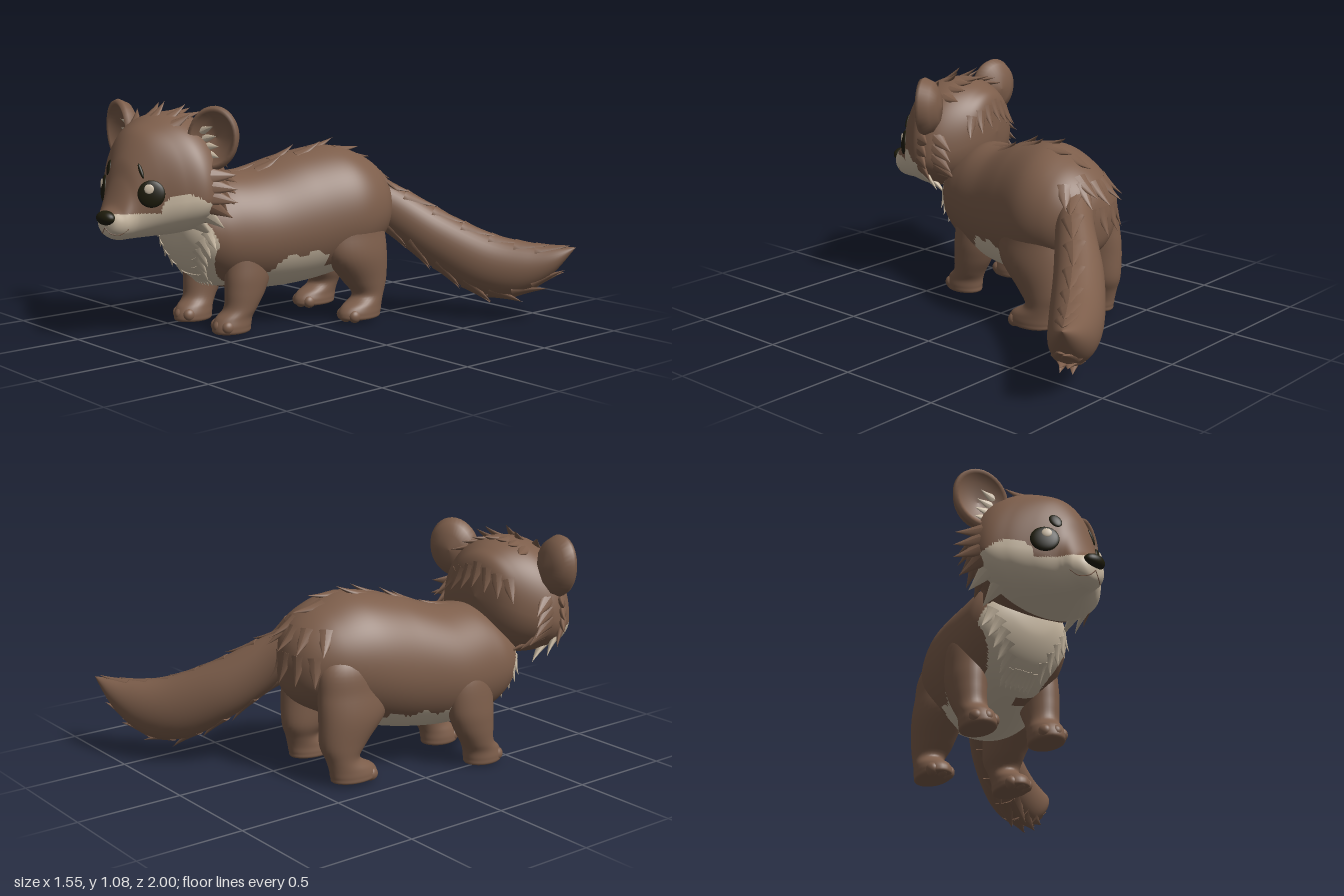
import * as THREE from 'three';

const mat = (name, color) => Object.assign(new THREE.MeshStandardMaterial({ color }), { name });
const V = (x, y, z) => new THREE.Vector3(x, y, z);

// Smooth skin through a few cross-section rows; ring(row, angle) gives a point.
function loft(rows, ring, sides = 96, sub = 10) {
  const cr = (a, b, c, d, t) => 0.5 * (2 * b + (c - a) * t + (2 * a - 5 * b + 4 * c - d) * t * t + (3 * b - a - 3 * c + d) * t * t * t);
  const last = rows.length - 1, pos = [], idx = [], n = last * sub;
  for (let i = 0; i <= n; i++) {
    const k = Math.min(Math.floor(i / sub), last - 1), t = i / sub - k;
    const r = (o) => rows[Math.max(0, Math.min(last, k + o))];
    const row = rows[0].map((_, c) => cr(r(-1)[c], r(0)[c], r(1)[c], r(2)[c], t));
    for (let j = 0; j < sides; j++) pos.push(...ring(row, (j / sides) * Math.PI * 2));
  }
  for (let i = 0; i < n; i++) for (let j = 0; j < sides; j++) {
    const a = i * sides + j, b = i * sides + (j + 1) % sides;
    idx.push(a, a + sides, b, b, a + sides, b + sides);
  }
  const g = new THREE.BufferGeometry();
  g.setAttribute('position', new THREE.Float32BufferAttribute(pos, 3));
  g.setIndex(idx);
  g.computeVertexNormals();
  return g;
}

// Sort faces into two material groups by a rule on their centres.
function paint(g, rule) {
  const p = g.attributes.position, ix = g.index.array, sets = [[], []];
  for (let i = 0; i < ix.length; i += 3) {
    const f = [ix[i], ix[i + 1], ix[i + 2]];
    const m = (fn) => f.reduce((s, v) => s + p[fn](v) / 3, 0);
    sets[rule(m('getX'), m('getY'), m('getZ')) ? 1 : 0].push(...f);
  }
  g.setIndex([...sets[0], ...sets[1]]);
  g.addGroup(0, sets[0].length, 0);
  g.addGroup(sets[0].length, sets[1].length, 1);
  return g;
}

// First surface point and normal met by a ray.
function cast(mesh, from, dir) {
  const hit = new THREE.Raycaster(from, dir.clone().normalize()).intersectObject(mesh)[0];
  return hit && { p: hit.point, n: hit.face.normal.clone() };
}

// Flat, curved lock of fur lying on a surface.
const lock = new THREE.ConeGeometry(1, 1, 10, 5);
lock.translate(0, 0.35, 0);
for (let i = 0, p = lock.attributes.position; i < p.count; i++) {
  const y = p.getY(i);
  p.setZ(i, p.getZ(i) * 0.45 + y * y * 0.3);
}
lock.computeVertexNormals();

function fur(parent, mesh, name, material, from, dir, flow, len, width, lift) {
  const h = cast(mesh, from, dir);
  if (!h) return;
  const y = flow.clone().addScaledVector(h.n, -flow.dot(h.n)).normalize().addScaledVector(h.n, lift).normalize();
  const x = y.clone().cross(h.n).normalize(), z = x.clone().cross(y);
  const m = new THREE.Mesh(lock, material);
  m.name = name;
  m.quaternion.setFromRotationMatrix(new THREE.Matrix4().makeBasis(x, y, z));
  m.position.copy(h.p).addScaledVector(h.n, -width * 0.3);
  m.scale.set(width, len, width);
  parent.add(m);
}

export function createModel() {
  const brown = mat('brown fur', 0x7d5e4b), cream = mat('cream fur', 0xcdbda6), dark = mat('dark eyes and nose', 0x1d1b0b);
  const model = new THREE.Group();
  const add = (parent, name, geo, material) => {
    const m = new THREE.Mesh(geo, material);
    m.name = name;
    parent.add(m);
    return m;
  };
  const ball = new THREE.SphereGeometry(1, 28, 18);
  // rows: z, centre x, centre y, half width, height above, depth below
  const bodyRing = ([z, cx, cy, w, up, dn], a) =>
    [cx + Math.max(w, 0) * Math.cos(a), cy + Math.max(Math.sin(a) > 0 ? up : dn, 0) * Math.sin(a), z];

  // Body with cream bib and belly
  const body = add(model, 'body', paint(loft([
    [0.585, -0.34, 0.51, 0, 0, 0], [0.57, -0.34, 0.495, 0.11, 0.1, 0.09], [0.52, -0.34, 0.475, 0.195, 0.17, 0.165],
    [0.45, -0.333, 0.46, 0.238, 0.24, 0.215], [0.36, -0.315, 0.45, 0.257, 0.29, 0.25], [0.2, -0.277, 0.45, 0.28, 0.305, 0.275],
    [0, -0.21, 0.48, 0.292, 0.335, 0.295], [-0.2, -0.15, 0.52, 0.298, 0.325, 0.29], [-0.35, -0.125, 0.54, 0.258, 0.26, 0.24],
    [-0.45, -0.12, 0.55, 0.185, 0.18, 0.19], [-0.5, -0.125, 0.55, 0.1, 0.1, 0.12], [-0.52, -0.13, 0.55, 0, 0, 0]],
    bodyRing), (x, y, z) => {
    const bib = z > 0.37 + 0.43 * (y - 0.2) && Math.abs(x + 0.335) < 0.1 + 0.5 * (y - 0.18) && y < 0.57;
    const top = z > -0.04 && x > -0.21 - 0.25 * z ? 0.365 - 2.5 * Math.max(0, z - 0.13) ** 1.5 : 0.295;
    const belly = z > -0.3 && y < (z < 0.36 ? top + 0.012 * Math.sin(z * 50) : 0.3) && (z < 0.36 || Math.abs(x + 0.335) < 0.14);
    return bib || belly;
  }), [brown, cream]);

  // Bib locks along its outline
  for (let r = 0; r < 6; r++) for (let i = -3; i <= 3; i++) {
    if (Math.abs(i) < 3 && r < 5) continue;
    const y = 0.485 - r * 0.045, x = i * (0.064 - r * 0.009);
    fur(model, body, 'bibLock', cream, V(x - 0.335, y, 2), V(0, 0, -1), V(x * 4, -1, 0), 0.1, 0.04, 0.12);
  }
  // Ridge and rump locks
  for (let i = 0; i < 8; i++) {
    const z = 0.26 - i * 0.1;
    fur(model, body, 'backLock', brown, V(-0.22 - z * 0.25 + (i % 2) * 0.05, 2, z), V(0, -1, 0), V(0.2, 0, -1), 0.15, 0.05, 0.2);
  }
  for (let i = -2; i <= 2; i++) for (const y of [0.58, 0.7])
    fur(model, body, 'rumpLock', brown, V(-0.125 + i * 0.08, y, -2), V(0, 0, 1), V(i * 0.2, -1, -0.4), 0.14, 0.048, 0.16);

  // Legs; rows: y, x, z, half width, half length
  const legRing = ([y, x, z, rx, rz], a) => [x + Math.max(rx, 0) * Math.cos(a), y, z - Math.max(rz, 0) * Math.sin(a)];
  const leg = (name, rows, side, x, dz, toeX, toeZ) => {
    const g = new THREE.Group();
    g.name = name;
    add(g, 'leg', loft(rows.map(([y, cx, ...r]) => [y, cx * side, ...r]), legRing, 32, 6), brown);
    for (const i of [-1, 0, 1]) {
      const toe = add(g, 'toe', ball, brown);
      toe.scale.set(0.028, 0.032, 0.034);
      toe.position.set(toeX * side + i * 0.042, 0.04, toeZ - Math.abs(i) * 0.018);
    }
    g.position.set(x, 0, dz);
    model.add(g);
  };
  const fore = [[0.56, -0.03, 0.26, 0, 0], [0.46, -0.012, 0.27, 0.072, 0.11], [0.3, 0, 0.278, 0.084, 0.122], [0.2, 0.003, 0.295, 0.079, 0.107],
    [0.12, 0, 0.322, 0.072, 0.085], [0.075, -0.008, 0.355, 0.073, 0.095], [0.035, -0.01, 0.368, 0.076, 0.1],
    [0.006, -0.01, 0.368, 0.066, 0.088], [0.004, -0.01, 0.368, 0, 0]];
  const hind = [[0.72, -0.06, -0.23, 0, 0], [0.57, -0.028, -0.23, 0.1, 0.15], [0.43, -0.01, -0.225, 0.108, 0.178], [0.32, 0, -0.235, 0.108, 0.173],
    [0.2, 0, -0.285, 0.09, 0.12], [0.13, 0.01, -0.298, 0.071, 0.082], [0.08, 0.015, -0.255, 0.074, 0.112],
    [0.045, 0.015, -0.24, 0.077, 0.12], [0.02, 0.015, -0.24, 0.068, 0.105], [0.018, 0.015, -0.24, 0, 0]];
  leg('leftFrontLeg', fore, 1, -0.143, 0.01, -0.01, 0.437);
  leg('rightFrontLeg', fore, -1, -0.497, -0.01, -0.01, 0.437);
  leg('leftHindLeg', hind, 1, 0.042, 0, 0.015, -0.155);
  leg('rightHindLeg', hind, -1, -0.322, -0.05, 0.015, -0.155);

  // Tail; rows: x, y, z, half width, half height
  const tailRows = [[-0.16, 0.64, -0.3, 0, 0], [-0.1, 0.615, -0.36, 0.08, 0.1], [0.04, 0.52, -0.48, 0.09, 0.115], [0.2, 0.38, -0.63, 0.112, 0.135],
    [0.38, 0.27, -0.765, 0.12, 0.15], [0.54, 0.245, -0.87, 0.105, 0.14], [0.67, 0.29, -0.945, 0.065, 0.085], [0.765, 0.37, -0.995, 0, 0]];
  const path = new THREE.CatmullRomCurve3(tailRows.map((r) => V(r[0], r[1], r[2])));
  const tail = add(model, 'tail', loft(tailRows, ([x, y, z, w, h], a) => {
    const s = V(0.62, 0, 0.78), c = Math.max(w, 0) * Math.cos(a), u = Math.max(h, 0) * Math.sin(a);
    return [x + s.x * c + u * 0.25, y + u * 0.95, z + s.z * c - u * 0.2];
  }, 40, 8), brown);
  for (let i = 0; i < 7; i++) {
    const t = 0.25 + i * 0.09, p = path.getPoint(t), flow = path.getTangent(t);
    for (const d of [V(0.15, 1, 0.1), V(0, -1, 0), V(0.3, -1, 0.3)])
      fur(model, tail, 'tailLock', brown, p.clone().add(d), d.clone().negate(), flow, 0.17, 0.055, 0.14);
  }

  // Head with cream muzzle and cheeks
  const head = new THREE.Group();
  head.name = 'head';
  model.add(head);
  const skull = add(head, 'skull', paint(loft([
    [0.978, 0, 0.565, 0, 0, 0], [0.965, 0, 0.565, 0.055, 0.045, 0.05], [0.93, 0, 0.57, 0.09, 0.08, 0.082], [0.89, 0, 0.59, 0.108, 0.165, 0.11],
    [0.86, 0, 0.615, 0.132, 0.235, 0.135], [0.8, 0, 0.645, 0.2, 0.305, 0.165], [0.73, 0, 0.66, 0.275, 0.34, 0.18],
    [0.65, 0, 0.67, 0.333, 0.36, 0.19], [0.55, 0, 0.685, 0.323, 0.35, 0.195], [0.45, 0, 0.72, 0.24, 0.28, 0.18],
    [0.39, 0, 0.76, 0.14, 0.18, 0.12], [0.37, 0, 0.78, 0, 0, 0]],
    bodyRing, 128, 12), (x, y, z) => {
    const ax = Math.abs(x);
    const cheek = ((ax - 0.265) / 0.075) ** 2 + ((y - 0.615) / 0.078) ** 2 < 1;
    return z > 0.6 && (cheek || y < 0.608 - 0.25 * Math.max(0, ax - 0.27));
  }), [brown, cream]);

  // Thin oval lying on the face
  const oval = (name, x, y, w, h, d, roll) => {
    const hit = cast(skull, V(x, y, 3), V(0, 0, -1)), g = new THREE.Group();
    g.name = name;
    g.position.copy(hit.p);
    g.lookAt(hit.p.clone().add(hit.n));
    g.rotateZ(roll);
    add(g, name + 'Shape', ball, dark).scale.set(w, h, d);
    head.add(g);
    return g;
  };
  for (const s of [-1, 1]) {
    const eye = oval(s > 0 ? 'leftEye' : 'rightEye', s * 0.155, 0.695, 0.062, 0.061, 0.016, 0);
    const shine = add(eye, 'eyeShine', ball, cream);
    shine.scale.set(0.022, 0.022, 0.006);
    shine.position.set(-s * 0.008, 0.022, 0.014);
    oval('brow', s * 0.105, 0.795, s > 0 ? 0.009 : 0.026, 0.036, 0.009, 0.4);

    // Mouth line
    const pts = [[0, 0.545], [0.025, 0.52], [0.06, 0.515], [0.09, 0.54]].map(([x, y]) => cast(skull, V(s * x, y, 3), V(0, 0, -1))).filter(Boolean).map((h) => h.p);
    add(head, 'mouthLine', new THREE.TubeGeometry(new THREE.CatmullRomCurve3(pts), 16, 0.0025, 6), brown);

    // Cupped ear with cream inner locks
    const ear = new THREE.Group();
    ear.name = s > 0 ? 'leftEar' : 'rightEar';
    const cup = new THREE.LatheGeometry([[0, -0.085], [0.06, -0.076], [0.105, -0.045], [0.122, 0], [0.115, 0.02], [0.1, 0.015], [0.075, -0.015], [0, -0.032]]
      .map(([r, z]) => new THREE.Vector2(r, z)), 36);
    cup.rotateX(Math.PI / 2);
    cup.scale(1.02, 1.2, 1);
    const shell = add(ear, 'earShell', cup, brown);
    for (let i = 0; i < 4; i++)
      fur(ear, shell, 'earLock', cream, V(-s * (0.07 - i * 0.018), 0.01 - i * 0.03, 1), V(0, 0, -1), V(s * 0.8, 0.6 - i * 0.2, 0), 0.085, 0.028, 0.4);
    ear.position.set(s * 0.306, 0.935, 0.595);
    ear.rotation.set(0, s * 0.35, -s * 0.25);
    head.add(ear);

    // Cheek and neck-side locks
    for (let i = 0; i < 6; i++) {
      const y = 0.53 + i * 0.048;
      fur(head, skull, 'cheekLock', i < 2 ? cream : brown, V(s * 2, y, 0.62), V(-s, 0, 0), V(0, -0.45 + i * 0.06, -0.8), 0.14, 0.048, 0.6);
      fur(head, skull, 'neckLock', brown, V(s * 2, y + 0.01, 0.53), V(-s, 0, 0), V(0, -0.6, -0.8), 0.13, 0.048, 0.4);
    }
  }
  const nose = add(head, 'nose', ball, dark);
  nose.scale.set(0.054, 0.033, 0.034);
  nose.position.set(0, 0.588, 0.967);

  // Crown and nape locks
  for (let i = -3; i <= 3; i++) {
    fur(head, skull, 'crownLock', brown, V(i * 0.065, 2, 0.67 - (i & 1) * 0.04), V(0, -1, 0), V(i * 0.15, 0, -1), 0.12, 0.038, 0.45);
    fur(head, skull, 'crownLock', brown, V(i * 0.055 + 0.02, 2, 0.55), V(0, -1, 0), V(i * 0.15, 0, -1), 0.12, 0.04, 0.35);
    fur(head, skull, 'napeLock', brown, V(i * 0.055, 0.92 - Math.abs(i) * 0.02, -1), V(0, 0, 1), V(i * 0.1, -1, 0), 0.12, 0.042, 0.2);
  }
  // Head turned slightly to its left
  const yaw = 0.16;
  head.rotation.y = yaw;
  head.position.set(-0.358 - 0.6 * Math.sin(yaw), 0, 0.6 - 0.6 * Math.cos(yaw));
  return model;
}
